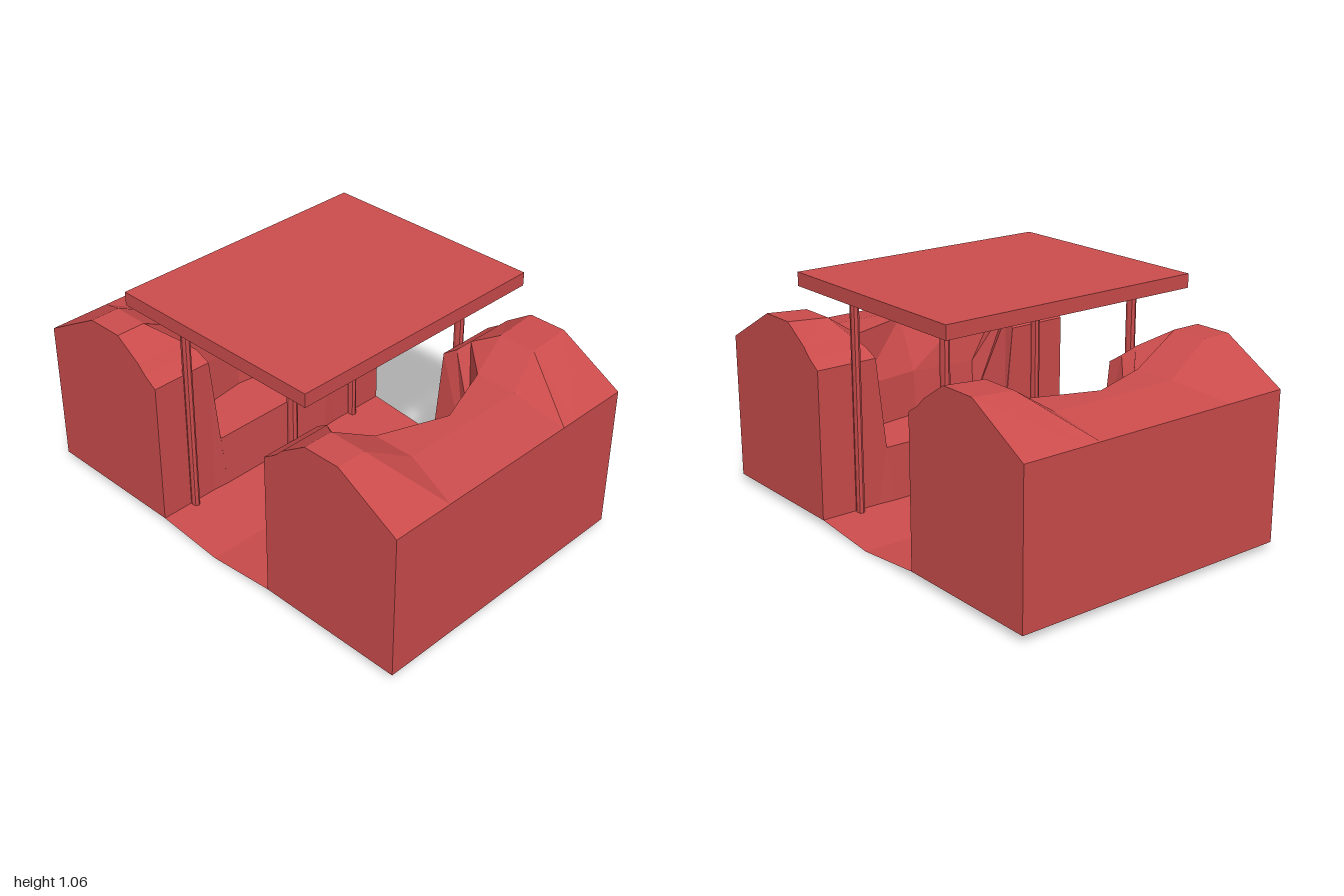
import * as THREE from 'three';

const material = new THREE.MeshStandardMaterial({ color: 0xcc4c4c, flatShading: true, side: THREE.DoubleSide });

// Skin a list of equal-length cross-sections; each section is a closed ring of [x, y, z].
function loft(sections, side) {
  const pos = [];
  const tri = (a, b, c) => {
    for (const p of side > 0 ? [a, b, c] : [a, c, b]) pos.push(p[0] * side, p[1], p[2]);
  };
  const n = sections[0].length;
  for (let s = 0; s < sections.length - 1; s++) {
    const a = sections[s], b = sections[s + 1];
    for (let i = 0; i < n; i++) {
      const j = (i + 1) % n;
      tri(a[i], b[i], b[j]);
      tri(a[i], b[j], a[j]);
    }
  }
  const first = sections[0], last = sections[sections.length - 1];
  for (let i = 1; i < n - 1; i++) {
    tri(first[0], first[i], first[i + 1]);
    tri(last[0], last[i + 1], last[i]);
  }
  const geometry = new THREE.BufferGeometry();
  geometry.setAttribute('position', new THREE.Float32BufferAttribute(pos, 3));
  geometry.computeVertexNormals();
  return geometry;
}

// Full-height bank profile, running from the outer foot over the crest to the inner foot.
const bank = (zs, crest) => [
  [1, 0.03], [1, 0.685], [0.71, crest], [0.54, crest], [0.42, 0.77], [0.38, 0.73], [0.32, 0.69], [0.32, 0.03],
].map(([x, y], i) => [x, y, Array.isArray(zs) ? zs[i] : zs]);

// Lowered profile with a seat niche cut into the inner side.
const niche = (z, rimX, backX, front) => [
  [1, 0.03, z], [1, 0.685, z], [0.75, 0.73, z], [rimX, 0.73, z],
  [backX, 0.5, z], [backX - 0.01, 0.3, z], [0.32, front, z * 1.08], [0.315, 0.03, z],
];

function bankGeometry(side) {
  return loft([
    bank(0.655, 0.85),
    bank([0.37, 0.37, 0.52, 0.52, 0.42, 0.38, 0.37, 0.37], 0.85),
    niche(0.3, 0.56, 0.53, 0.28),
    niche(0, 0.67, 0.57, 0.28),
    niche(-0.3, 0.56, 0.53, 0.28),
    bank([-0.37, -0.37, -0.46, -0.46, -0.42, -0.38, -0.37, -0.37], 0.835),
    bank(-0.655, 0.85),
  ], side);
}

// Thin trench floor, sagging along the centre line.
function floorGeometry() {
  const geometry = new THREE.PlaneGeometry(0.64, 1.31, 2, 1).rotateX(-Math.PI / 2);
  const p = geometry.attributes.position;
  for (let i = 0; i < p.count; i++) p.setY(i, Math.abs(p.getX(i)) > 0.1 ? 0.03 : 0);
  geometry.computeVertexNormals();
  return geometry;
}

export function createModel() {
  const model = new THREE.Group();
  const add = (name, geometry, x = 0, y = 0, z = 0) => {
    const mesh = new THREE.Mesh(geometry, material);
    mesh.name = name;
    mesh.position.set(x, y, z);
    model.add(mesh);
    return mesh;
  };

  // Earth banks and floor
  add('leftBank', bankGeometry(1));
  add('rightBank', bankGeometry(-1));
  add('floor', floorGeometry());

  // Roof posts
  const post = new THREE.CylinderGeometry(0.5, 0.5, 0.98, 8);
  post.scale(0.048, 1, 0.035);
  for (const [side, x] of [['left', 0.308], ['right', -0.311]]) {
    add(side + 'FrontPost', post, x, 0.5, 0.4925);
    add(side + 'BackPost', post, x, 0.5, -0.476);
  }

  // Roof slab
  add('roof', new THREE.BoxGeometry(1.02, 0.06, 1.24), 0.01, 1.03, 0.01);
  return model;
}
